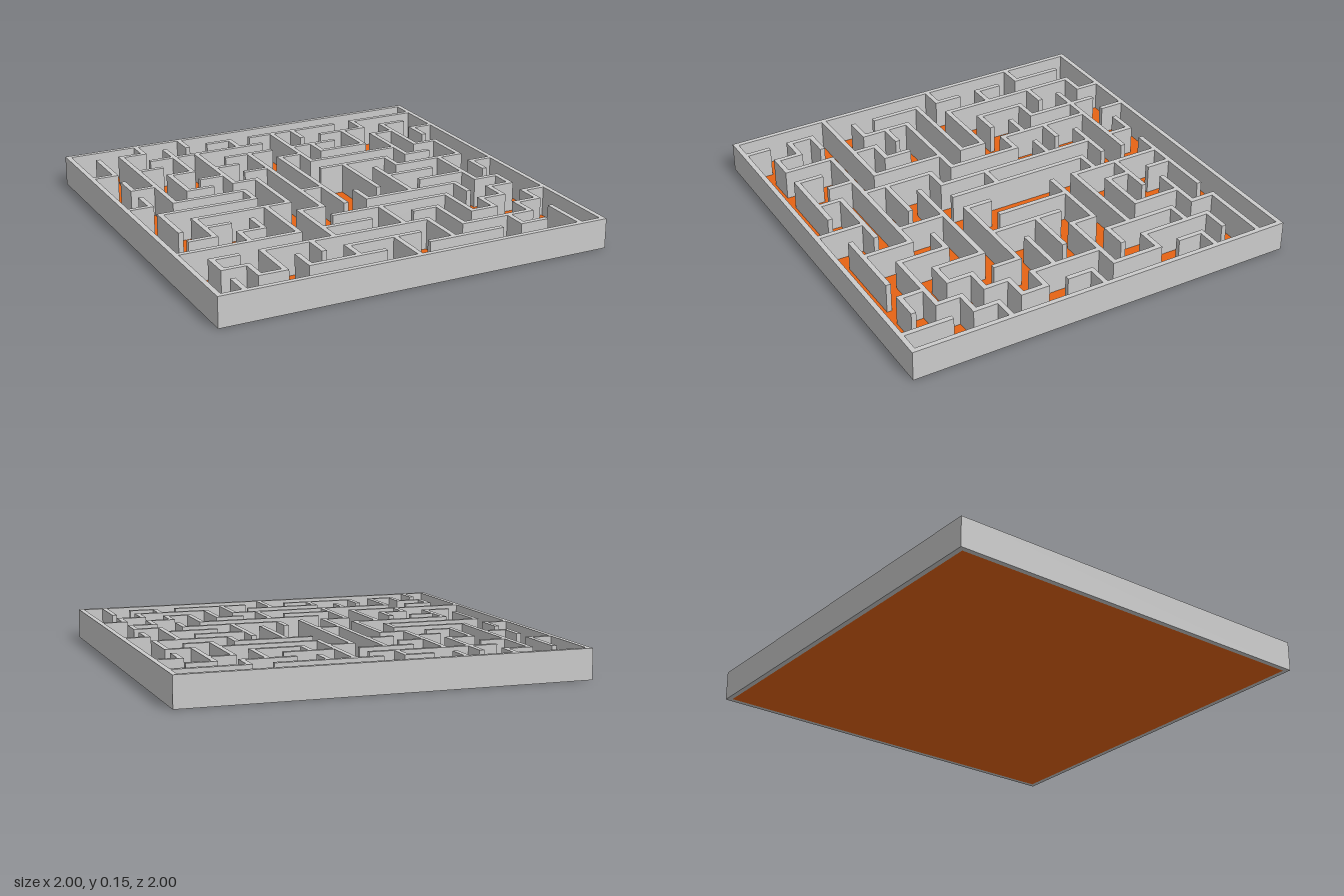
import * as THREE from 'three';

const CELLS = 16, THICK = 0.025, HEIGHT = 0.15;
const STEP = (2 - THICK) / CELLS;
const LIFT = 0.001; // inner walls start just above the floor sheet

// Wall runs on each inner grid line, "from-to" in cells.
const ROWS = [ // lines across x, back to front
  '2-3 6-7 8-12 13-16',
  '3-8 11-13 14-15',
  '0-1 2-3 6-8 9-11 13-14 15-16',
  '3-4 5-6 8-9 10-12',
  '1-2 4-5 6-7 9-13 14-15',
  '3-4 5-6 9-12 13-14',
  '0-1 2-5 12-15',
  '1-5 7-8 11-13 15-16',
  '2-6 12-14',
  '2-3 6-7 9-13 14-15',
  '1-2 3-4 7-12 14-15',
  '0-5 6-8 10-11 13-14 15-16',
  '1-2 3-10 12-13 14-15',
  '1-2 6-9 11-14',
  '2-3 4-7 9-12 13-14',
];
const COLUMNS = [ // lines along z, from -x to +x
  '1-3 4-5 6-7 8-10 13-14 15-16',
  '1-7 9-11 14-15',
  '0-1 4-6 11-12 13-15',
  '1-4 10-11 14-15',
  '0-1 2-6 7-8 9-12 13-14',
  '6-9 10-13 14-15',
  '1-2 3-10',
  '4-10 14-16',
  '1-5 9-10 11-13',
  '1-2 3-4 6-9 13-15',
  '7-10 12-14',
  '2-4 6-7 11-13',
  '1-2 3-6 10-11 12-13 14-15',
  '2-5 7-10 11-12 13-14',
  '3-4 5-7 8-9 10-11 12-13 14-16',
];

const at = (i) => (i - CELLS / 2) * STEP;

export function createModel() {
  const model = new THREE.Group();
  model.name = 'maze';
  const grey = new THREE.MeshStandardMaterial({ color: 0xcccccc });
  const orange = new THREE.MeshStandardMaterial({ color: 0xe66414, side: THREE.DoubleSide });

  // Floor sheet inside the frame
  const inner = 2 - 2 * THICK;
  const floor = new THREE.Mesh(new THREE.PlaneGeometry(inner, inner).rotateX(-Math.PI / 2), orange);
  floor.name = 'floor';
  model.add(floor);

  // Outer frame: a square with a square hole, extruded upwards
  const square = (h) => [[-h, -h], [h, -h], [h, h], [-h, h]].map(([x, y]) => new THREE.Vector2(x, y));
  const outline = new THREE.Shape(square(1));
  outline.holes.push(new THREE.Path(square(inner / 2).reverse()));
  const frame = new THREE.Mesh(
    new THREE.ExtrudeGeometry(outline, { depth: HEIGHT, bevelEnabled: false }).rotateX(-Math.PI / 2), grey);
  frame.name = 'outerFrame';
  model.add(frame);

  // Inner walls, each run reaching half a thickness past its end lines
  const addWalls = (lines, name, alongX) => {
    const group = new THREE.Group();
    group.name = name;
    lines.forEach((line, n) => line.split(' ').forEach((run) => {
      const [a, b] = run.split('-').map(Number);
      // Stop at the frame's inner face where a run meets it
      const start = at(a) + (a === 0 ? THICK : -THICK) / 2;
      const end = at(b) + (b === CELLS ? -THICK : THICK) / 2;
      const length = end - start, middle = (start + end) / 2, across = at(n + 1);
      const wall = new THREE.Mesh(new THREE.BoxGeometry(
        alongX ? length : THICK, HEIGHT - LIFT, alongX ? THICK : length), grey);
      wall.position.set(alongX ? middle : across, (HEIGHT + LIFT) / 2, alongX ? across : middle);
      wall.name = 'wall';
      group.add(wall);
    }));
    model.add(group);
  };
  addWalls(ROWS, 'crossWalls', true);
  addWalls(COLUMNS, 'lengthwiseWalls', false);

  return model;
}
